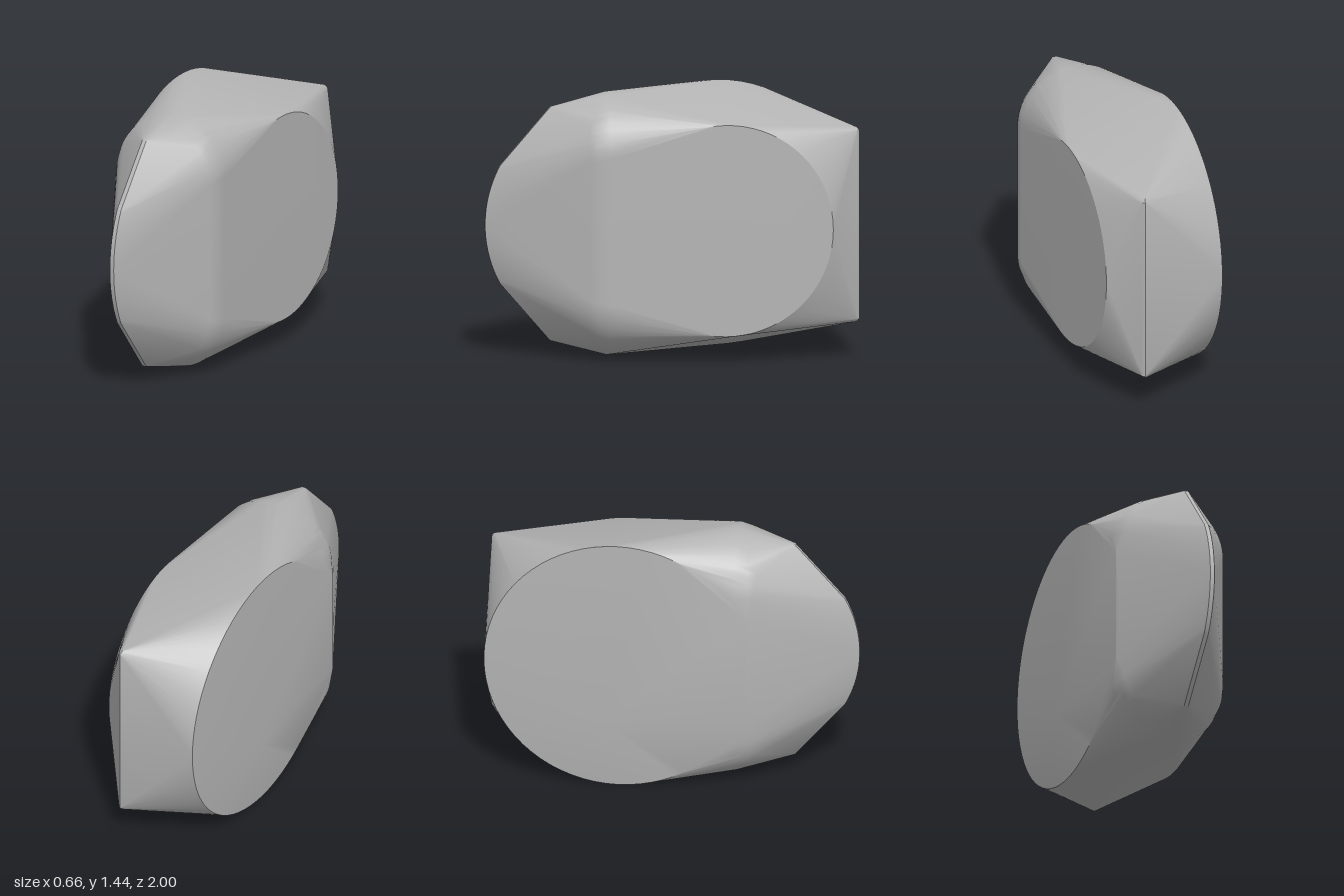
import * as THREE from 'three';
import { ConvexGeometry } from 'three/addons/geometries/ConvexGeometry.js';
import { toCreasedNormals } from 'three/addons/utils/BufferGeometryUtils.js';

const MID = 0.72; // height of the middle plane
const v = (x, y, z) => new THREE.Vector3(x, y, z);

// round outline of a side face; xAt gives the slight tilt of the face
function disc(centreZ, radius, xAt, n = 72) {
  return Array.from({ length: n }, (_, i) => {
    const a = (i / n) * Math.PI * 2;
    const z = centreZ + radius * Math.cos(a);
    return v(xAt(z), MID + radius * Math.sin(a), z);
  });
}

// upright slot outline across the body, with round ends
function slot(z, radius, halfHeight, n = 48) {
  return Array.from({ length: n + 1 }, (_, i) => {
    const a = (i / n) * Math.PI;
    const x = radius * Math.cos(a);
    const y = halfHeight - radius + radius * Math.sin(a);
    return [v(x, MID + y, z), v(x, MID - y, z)];
  }).flat();
}

export function createModel() {
  const stone = new THREE.MeshStandardMaterial({ color: 0xb4b4b4 });
  stone.name = 'stone grey';

  const points = [
    // small and large round side faces
    ...disc(-0.27, 0.575, (z) => 0.317 - 0.016 * z),
    ...disc(-0.28, 0.72, (z) => -0.302 - 0.022 * z),
    v(-0.333, 0.4, -0.35),
    // shoulders with a softened front edge
    ...slot(0.35, 0.314, 0.713),
    ...slot(0.42, 0.306, 0.69),
    ...slot(0.46, 0.289, 0.665),
    v(-0.32, 0.4, 0.42), v(-0.32, 1.04, 0.42),
  ];

  // narrow blade-like nose: a curved leading edge and a point above and below
  for (const x of [-0.02, 0.004]) {
    for (let i = -12; i <= 12; i++) {
      const a = (i / 12) * 0.49;
      points.push(v(x, MID + 0.68 * Math.sin(a), 0.32 + 0.68 * Math.cos(a)));
    }
    points.push(v(x, MID + 0.635, 0.65), v(x, MID - 0.635, 0.65));
  }

  // back corners, slightly blunted
  for (const s of [-1, 1]) {
    points.push(v(0.17, MID + s * 0.515, -1), v(0.165, MID + s * 0.53, -0.985), v(0.182, MID + s * 0.515, -0.99));
  }

  const body = new THREE.Mesh(toCreasedNormals(new ConvexGeometry(points), 0.42), stone);
  body.name = 'body';

  const model = new THREE.Group();
  model.name = 'facetedStone';
  model.add(body);
  return model;
}
